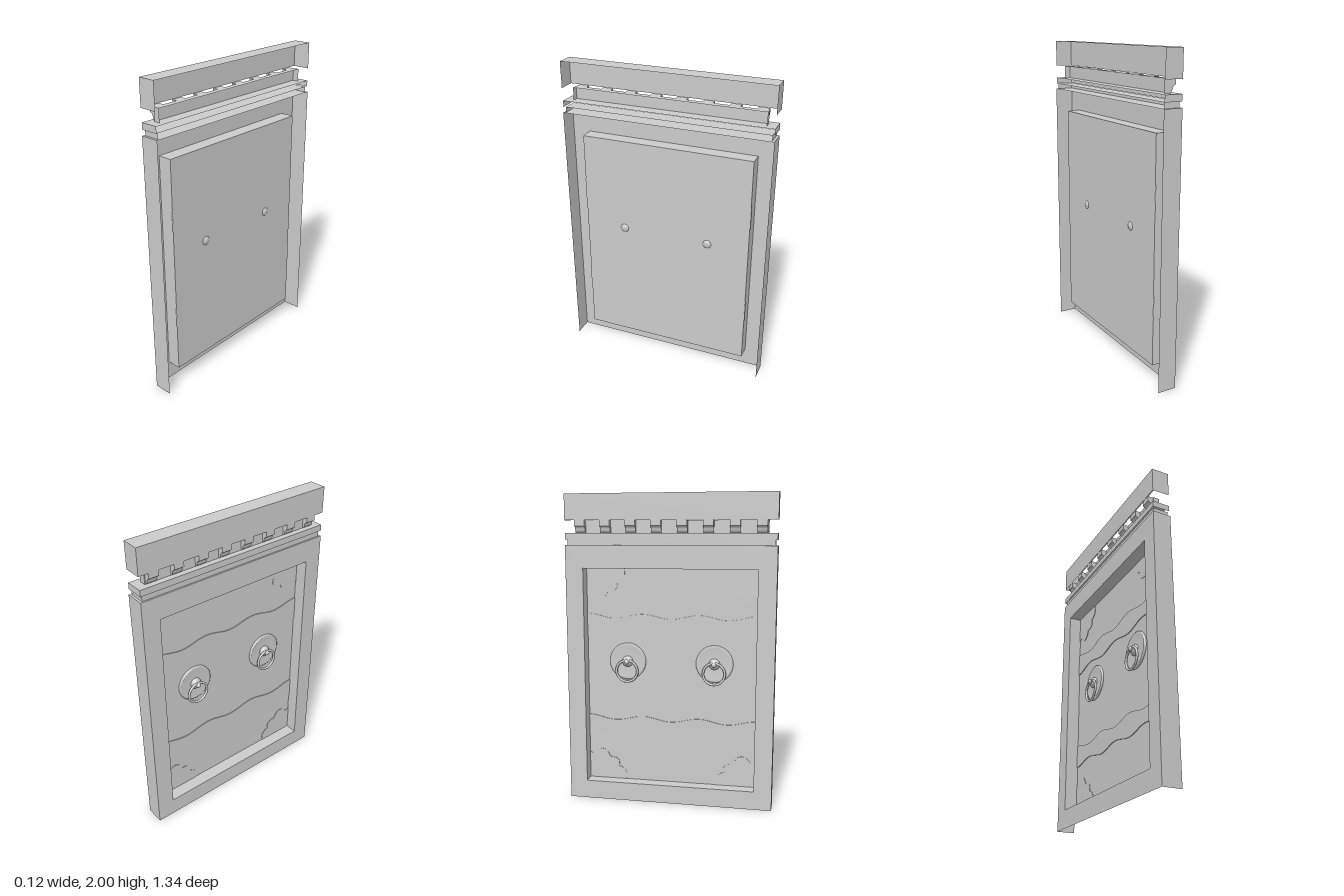
import * as THREE from 'three';

const mat = new THREE.MeshStandardMaterial({ color: 0xcccccc, side: THREE.DoubleSide });

function add(parent, name, geo, x = 0, y = 0, z = 0) {
  const m = new THREE.Mesh(geo, mat);
  m.name = name;
  m.position.set(x, y, z);
  parent.add(m);
  return m;
}

// Flat shape drawn in (z, y), turned to face -x; depth grows toward -x
const faceMinusX = (geo) => geo.rotateY(-Math.PI / 2);
const plate = (shape, depth) => faceMinusX(
  new THREE.ExtrudeGeometry(shape, { depth, bevelEnabled: false, curveSegments: 10 }));

function rect(shape, z0, z1, y0, y1) {
  shape.moveTo(z0, y0);
  shape.lineTo(z1, y0);
  shape.lineTo(z1, y1);
  shape.lineTo(z0, y1);
  shape.closePath();
  return shape;
}

// Shell with front, two ends and a top; open at the back and below
function shell(parent, name, halfZ, y0, y1, xFront, xBack, hole) {
  const g = new THREE.Group();
  g.name = name;
  const shape = rect(new THREE.Shape(), -halfZ, halfZ, y0, y1);
  if (hole) shape.holes.push(hole);
  add(g, name + 'Front', faceMinusX(new THREE.ShapeGeometry(shape)), xFront);
  const d = xBack - xFront, mid = (xFront + xBack) / 2;
  for (const s of [-1, 1]) {
    const end = new THREE.PlaneGeometry(d, y1 - y0);
    if (s < 0) end.rotateY(Math.PI);
    add(g, name + 'End', end, mid, (y0 + y1) / 2, s * halfZ);
  }
  add(g, name + 'Top', new THREE.PlaneGeometry(d, halfZ * 2).rotateX(-Math.PI / 2), mid, y1);
  parent.add(g);
}

export function createModel() {
  const root = new THREE.Group();
  root.name = 'doorway';
  const Z = 0.555, Y0 = 0.12, Y1 = 1.535, F = -0.06, B = 0.03, LEAF = 0.024;

  // Surround and cornice
  shell(root, 'frame', 0.67, 0, 1.68, F, 0.06, rect(new THREE.Path(), -Z, Z, Y0, Y1));
  shell(root, 'lowerMoulding', 0.655, 1.68, 1.715, -0.05, 0.05);
  shell(root, 'upperMoulding', 0.668, 1.715, 1.755, -0.058, 0.055);
  shell(root, 'frieze', 0.612, 1.755, 1.835, -0.02, 0.02);
  shell(root, 'cornice', 0.67, 1.835, 2, -0.058, 0.055);

  // Curved brackets under the cornice
  const profile = new THREE.Shape();
  profile.moveTo(-0.02, 1.755);
  profile.lineTo(-0.02, 1.835);
  profile.lineTo(-0.056, 1.835);
  profile.lineTo(-0.056, 1.80);
  profile.quadraticCurveTo(-0.038, 1.795, -0.036, 1.775);
  profile.quadraticCurveTo(-0.03, 1.758, -0.02, 1.755);
  const bracketGeo = new THREE.ExtrudeGeometry(profile,
    { depth: 0.065, bevelEnabled: false, curveSegments: 5 }).translate(0, 0, -0.0325);
  for (let i = 0; i < 8; i++) add(root, 'bracket', bracketGeo, 0, 0, (i - 3.5) * 0.164);

  // Reveal around the opening
  const d = B - F, mid = (B + F) / 2, h = Y1 - Y0;
  for (const s of [-1, 1]) {
    add(root, 'sideReveal', new THREE.PlaneGeometry(d, h), mid, (Y0 + Y1) / 2, s * Z);
    add(root, 'crossReveal', new THREE.PlaneGeometry(d, Z * 2).rotateX(-Math.PI / 2),
      mid, s < 0 ? Y0 : Y1);
  }

  // Door leaf
  add(root, 'doorLeaf', new THREE.BoxGeometry(B - LEAF, h, Z * 2),
    (B + LEAF) / 2, (Y0 + Y1) / 2);

  // Wavy iron straps across the leaf
  const end = Z + 0.003, n = 48, strap = new THREE.Shape();
  const half = (z) => 0.06 - 0.015 * Math.cos((2 * Math.PI * z) / 0.37);
  const pts = [];
  for (let i = 0; i <= n; i++) {
    const z = -end + (2 * end * i) / n;
    pts.push(new THREE.Vector2(z, -half(z)));
  }
  const upper = pts.map((p) => new THREE.Vector2(p.x, -p.y)).reverse();
  strap.setFromPoints([...pts, ...upper]);
  const strapGeo = plate(strap, 0.01);
  for (const y of [0.485, 1.165]) add(root, 'strap', strapGeo, B - 0.001, y);

  // Scalloped corner plates
  for (const sz of [-1, 1]) for (const sy of [-1, 1]) {
    const P = (a, b) => [sz * (Z - a), (sy > 0 ? Y1 : Y0) - sy * b];
    const c = new THREE.Shape();
    c.moveTo(...P(0, 0));
    c.lineTo(...P(0.25, 0));
    c.quadraticCurveTo(...P(0.27, 0.07), ...P(0.2, 0.09));
    c.quadraticCurveTo(...P(0.22, 0.15), ...P(0.14, 0.15));
    c.quadraticCurveTo(...P(0.11, 0.23), ...P(0.05, 0.19));
    c.quadraticCurveTo(...P(0.03, 0.15), ...P(0, 0.18));
    c.closePath();
    add(root, 'cornerPlate', plate(c, 0.008), B - 0.001);
  }

  // Round back plates with ring pulls
  for (const s of [-1, 1]) {
    const g = new THREE.Group();
    g.name = 'ringPull';
    g.position.set(LEAF, 0.93, s * 0.285);
    const turned = new THREE.LatheGeometry(
      [[0.12, 0], [0.12, 0.008], [0.11, 0.014], [0.1, 0.008], [0.035, 0.008]]
        .map(([r, t]) => new THREE.Vector2(r, t)), 32).rotateZ(Math.PI / 2);
    add(g, 'backPlate', turned);
    add(g, 'boss', new THREE.SphereGeometry(0.036, 20, 12).scale(0.8, 1, 1), -0.012);
    add(g, 'knob', new THREE.SphereGeometry(0.016, 14, 10), -0.042);
    add(g, 'ring', new THREE.TorusGeometry(0.07, 0.008, 10, 32).rotateY(Math.PI / 2),
      -0.036, -0.06);
    root.add(g);
  }
  return root;
}
